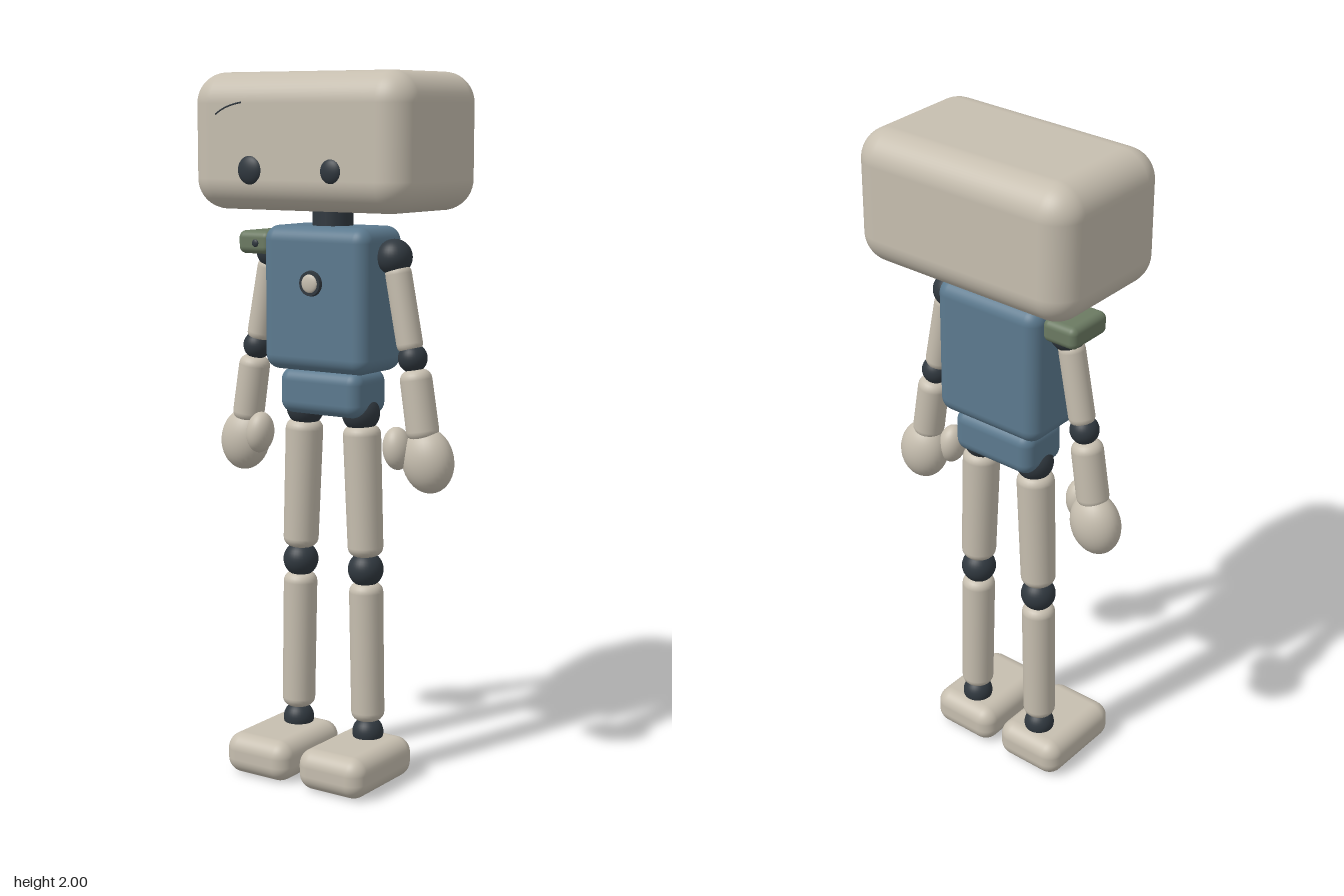
import * as THREE from 'three';
import { RoundedBoxGeometry } from 'three/addons/geometries/RoundedBoxGeometry.js';

const material = (name, color) => {
  const m = new THREE.MeshStandardMaterial({ color });
  m.name = name;
  return m;
};

export function createModel() {
  const shell = material('warm beige shell', 0xc6beaf);
  const blue = material('slate blue body', 0x5c7a8f);
  const dark = material('charcoal joints', 0x30383f);
  const green = material('moss green pack', 0x6b7a62);

  const model = new THREE.Group();
  model.name = 'robot';

  const add = (parent, name, geometry, mat, x = 0, y = 0, z = 0) => {
    const mesh = new THREE.Mesh(geometry, mat);
    mesh.name = name;
    mesh.position.set(x, y, z);
    parent.add(mesh);
    return mesh;
  };
  const group = (name) => {
    const g = new THREE.Group();
    g.name = name;
    model.add(g);
    return g;
  };
  const box = (w, h, d, r) => new RoundedBoxGeometry(w, h, d, 6, r);
  const ball = (rx, ry = rx, rz = rx) => new THREE.SphereGeometry(1, 32, 20).scale(rx, ry, rz);

  // Rounded rod running from a (radius ra) to b (radius rb)
  const limb = (parent, name, a, b, ra, rb) => {
    const from = new THREE.Vector3(...a), to = new THREE.Vector3(...b);
    const length = from.distanceTo(to);
    const bevel = 0.028;
    const points = [];
    for (let i = 0; i <= 6; i++) {
      const t = (i / 6) * Math.PI / 2;
      points.push(new THREE.Vector2(ra - bevel + bevel * Math.sin(t), bevel - bevel * Math.cos(t)));
    }
    for (let i = 0; i <= 6; i++) {
      const t = (i / 6) * Math.PI / 2;
      points.push(new THREE.Vector2(rb - bevel + bevel * Math.cos(t), length - bevel + bevel * Math.sin(t)));
    }
    points.unshift(new THREE.Vector2(0, 0));
    points.push(new THREE.Vector2(0, length));
    const mesh = add(parent, name, new THREE.LatheGeometry(points, 28), shell, ...a);
    mesh.quaternion.setFromUnitVectors(new THREE.Vector3(0, 1, 0), to.sub(from).normalize());
  };

  // Head with uneven eyes and a thin scratch
  const head = group('head');
  add(head, 'headShell', box(0.712, 0.376, 0.432, 0.085), shell, 0, 1.812, -0.009);
  add(head, 'rightEye', ball(0.041, 0.041, 0.02), dark, -0.135, 1.735, 0.2);
  add(head, 'leftEye', ball(0.035, 0.035, 0.018), dark, 0.132, 1.735, 0.2);
  const scratch = new THREE.QuadraticBezierCurve3(
    new THREE.Vector3(-0.25, 1.885, 0.206),
    new THREE.Vector3(-0.215, 1.91, 0.206),
    new THREE.Vector3(-0.16, 1.917, 0.206));
  add(head, 'scratch', new THREE.TubeGeometry(scratch, 12, 0.0025, 6), dark);

  // Neck, chest and pelvis
  add(model, 'neck', new THREE.CylinderGeometry(0.057, 0.057, 0.12, 28), dark, 0, 1.6, 0);
  const torso = group('torso');
  add(torso, 'chest', box(0.35, 0.405, 0.212, 0.042), blue, 0, 1.378, 0);
  add(torso, 'pelvis', box(0.272, 0.13, 0.166, 0.036), blue, 0, 1.115, 0);
  add(torso, 'buttonRim', new THREE.CylinderGeometry(0.034, 0.038, 0.02, 28).rotateX(Math.PI / 2), dark, 0, 1.425, 0.106);
  add(torso, 'button', ball(0.026, 0.026, 0.008), shell, 0, 1.425, 0.115);

  // Small pack on the right shoulder
  const pack = group('shoulderPack');
  add(pack, 'packBody', box(0.11, 0.065, 0.15, 0.02), green, -0.225, 1.528, 0);
  add(pack, 'packLight', ball(0.011, 0.011, 0.005), dark, -0.215, 1.526, 0.075);

  // Arms and legs, mirrored by the side sign
  for (const [side, s] of [['left', 1], ['right', -1]]) {
    const arm = group(side + 'Arm');
    add(arm, 'shoulder', ball(0.05), dark, s * 0.204, 1.5, 0);
    limb(arm, 'upperArm', [s * 0.212, 1.482, 0], [s * 0.26, 1.238, 0], 0.037, 0.037);
    add(arm, 'elbow', ball(0.041), dark, s * 0.265, 1.226, 0);
    limb(arm, 'forearm', [s * 0.272, 1.195, 0], [s * 0.303, 1.0, 0], 0.045, 0.046);
    const hand = add(arm, 'hand', ball(0.076, 0.092, 0.062), shell, s * 0.314, 0.945, -0.004);
    hand.rotation.z = s * 0.2;
    const thumb = add(arm, 'thumb', ball(0.039, 0.06, 0.044), shell, s * 0.235, 0.976, 0.03);
    thumb.rotation.z = s * 0.1;

    const leg = group(side + 'Leg');
    add(leg, 'hip', ball(0.054), dark, s * 0.095, 1.058, 0);
    limb(leg, 'thigh', [s * 0.098, 1.025, 0], [s * 0.113, 0.648, 0], 0.054, 0.051);
    add(leg, 'knee', ball(0.051), dark, s * 0.113, 0.61, 0);
    limb(leg, 'shin', [s * 0.114, 0.572, 0], [s * 0.122, 0.165, 0], 0.049, 0.048);
    add(leg, 'ankle', ball(0.045), dark, s * 0.122, 0.13, 0);
    add(leg, 'foot', box(0.22, 0.118, 0.302, 0.046), shell, s * 0.126, 0.059, 0.071);
  }
  // The rods with a bottom-to-top direction flip are closed solids, so both faces stay valid
  return model;
}
